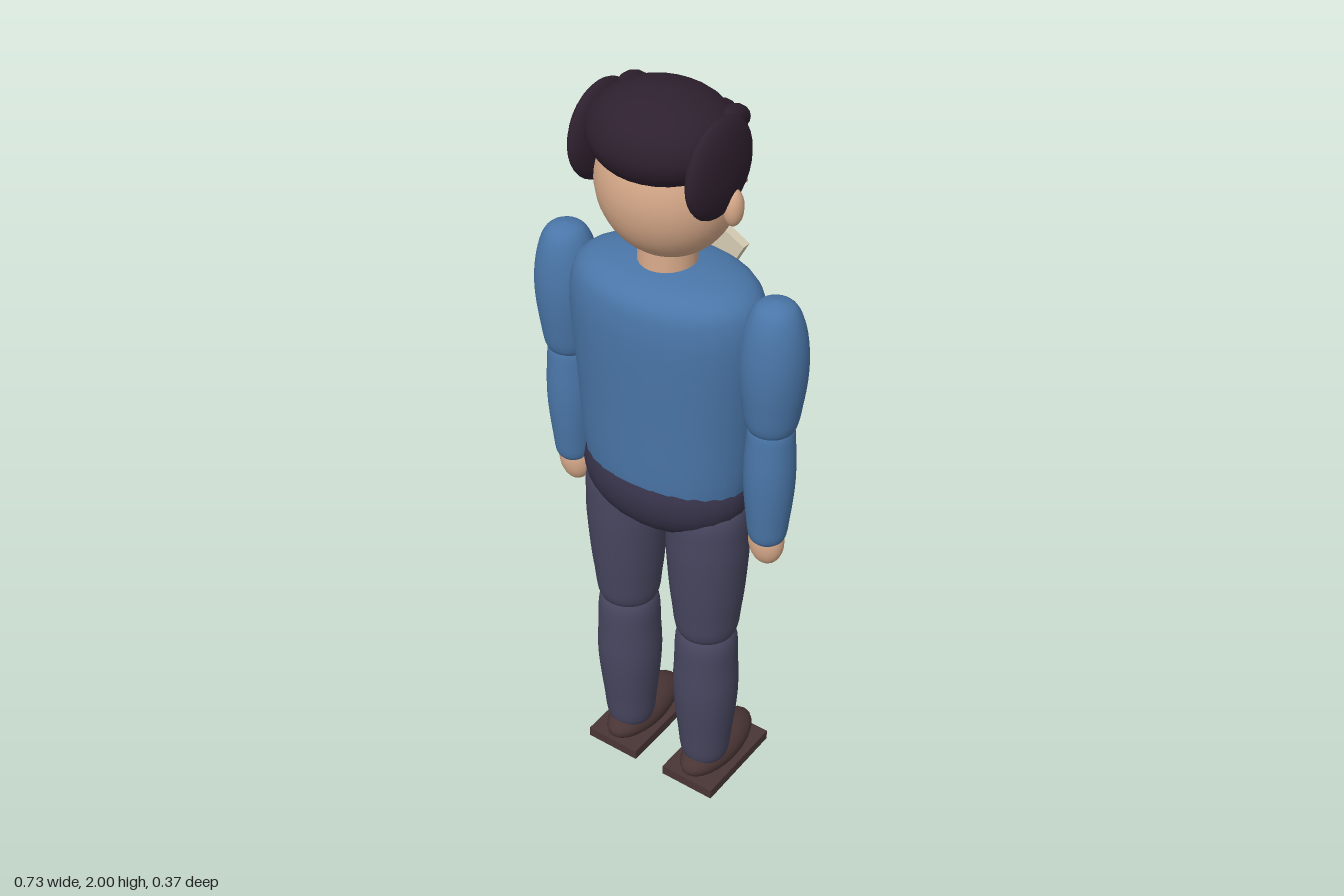
import * as THREE from 'three';

const mat = (name, color) => {
  const m = new THREE.MeshStandardMaterial({ color });
  m.name = name;
  return m;
};

export function createModel() {
  const shirt = mat('shirt blue', 0x4a76a8);
  const trousers = mat('trouser slate', 0x47465f);
  const seat = mat('dark waist', 0x37334a);
  const hair = mat('hair', 0x2e202e);
  const skin = mat('skin', 0xd8aa8a);
  const shoe = mat('shoe brown', 0x4a3535);
  const cream = mat('cream cloth', 0xd6ccb4);
  const tan = mat('tan', 0xa5805f);
  const black = mat('black', 0x1a1416);
  const white = mat('eye white', 0xece8e2);

  const figure = new THREE.Group();
  figure.name = 'standingFigure';

  const add = (name, geometry, material, [x, y, z]) => {
    const mesh = new THREE.Mesh(geometry, material);
    mesh.name = name;
    mesh.position.set(x, y, z);
    figure.add(mesh);
    return mesh;
  };
  const ball = (name, material, pos, radii, w = 24, h = 16) =>
    add(name, new THREE.SphereGeometry(1, w, h).scale(...radii), material, pos);
  const box = (name, material, pos, size) => add(name, new THREE.BoxGeometry(...size), material, pos);
  // Smooth turned shape from [radius, height] points, listed bottom to top
  const turned = (name, material, pos, points, depth = 1) => {
    const curve = new THREE.SplineCurve(points.map(([r, y]) => new THREE.Vector2(r, y)));
    const profile = curve.getPoints(points.length * 4).map(p => p.setX(Math.max(p.x, 0)));
    return add(name, new THREE.LatheGeometry(profile, 28).scale(1, 1, depth), material, pos);
  };
  // Ellipsoid stretched between two points
  const strand = (name, material, from, to, r) => {
    const a = new THREE.Vector3(...from), b = new THREE.Vector3(...to);
    const mid = a.clone().add(b).multiplyScalar(0.5);
    const mesh = ball(name, material, mid.toArray(), [r, a.distanceTo(b) / 2, r], 14, 12);
    mesh.quaternion.setFromUnitVectors(new THREE.Vector3(0, 1, 0), b.sub(a).normalize());
    return mesh;
  };

  // Torso, waist and neck
  turned('torso', shirt, [0, 0, 0.01], [[0, 1.0], [0.19, 1.0], [0.22, 1.02], [0.235, 1.2], [0.25, 1.4],
    [0.245, 1.49], [0.222, 1.535], [0.17, 1.56], [0.08, 1.573], [0, 1.575]], 0.665);
  ball('waist', seat, [0, 0.98, 0.012], [0.224, 0.14, 0.154]);
  add('neck', new THREE.CylinderGeometry(0.066, 0.07, 0.12, 24), skin, [0, 1.59, 0.01]);

  // Limbs
  for (const s of [-1, 1]) {
    const side = s > 0 ? 'left' : 'right';
    turned(side + 'UpperArm', shirt, [s * 0.287, 0, 0.01], [[0, 1.565], [0.045, 1.55], [0.07, 1.49],
      [0.079, 1.4], [0.07, 1.3], [0.052, 1.225], [0, 1.215]].reverse());
    turned(side + 'Forearm', shirt, [s * 0.287, 0, 0.01], [[0, 0.9], [0.04, 0.905], [0.052, 0.97],
      [0.061, 1.08], [0.058, 1.18], [0.048, 1.24], [0, 1.26]]);
    ball(side + 'Hand', skin, [s * 0.284, 0.893, 0.008], [0.046, 0.068, 0.036]);
    strand(side + 'Thumb', skin, [s * 0.245, 0.94, 0.0], [s * 0.236, 0.875, -0.012], 0.014);

    turned(side + 'Thigh', trousers, [s * 0.121, 0, 0.013], [[0, 0.525], [0.07, 0.53], [0.088, 0.62],
      [0.099, 0.74], [0.103, 0.85], [0.09, 0.95], [0, 1.0]]);
    turned(side + 'Shin', trousers, [s * 0.121, 0, 0.013], [[0, 0.08], [0.056, 0.09], [0.072, 0.19],
      [0.084, 0.32], [0.082, 0.42], [0.071, 0.53], [0, 0.55]]);

    // Shoes
    ball(side + 'Shoe', shoe, [s * 0.121, 0.073, -0.042], [0.066, 0.052, 0.141]);
    box(side + 'Sole', shoe, [s * 0.122, 0.035, -0.037], [0.155, 0.028, 0.27]);
    box(side + 'Tread', shoe, [s * 0.122, 0.011, -0.03], [0.11, 0.022, 0.21]);

    // Chest pocket and collar wing
    box(side + 'Pocket', shirt, [s * 0.147, 1.365, -0.141], [0.122, 0.105, 0.026]);
    const wing = box(side + 'Collar', cream, [s * 0.066, 1.548, -0.12], [0.07, 0.11, 0.024]);
    wing.rotation.z = -s * 0.5;
  }

  // Shirt front and buttons
  box('placket', cream, [0, 1.345, -0.148], [0.155, 0.325, 0.016]);
  for (const y of [1.4, 1.27, 1.14]) ball('button', tan, [0, y, -0.162], [0.01, 0.01, 0.008], 12, 8);

  // Head
  const c = [0, 1.77, 0.012], r = [0.167, 0.175, 0.146];
  ball('head', skin, c, r, 32, 24);
  ball('chin', skin, [0, 1.657, -0.066], [0.06, 0.042, 0.05]);
  strand('nose', skin, [0, 1.795, -0.138], [0, 1.738, -0.148], 0.02);
  ball('noseTip', skin, [0, 1.763, -0.15], [0.018, 0.02, 0.024], 16, 12);

  // Thin face details laid on the curve of the head
  const onFace = (name, material, x, y, w, h, lift, tilt = 0) => {
    const k = 1 - (x / r[0]) ** 2 - ((y - c[1]) / r[1]) ** 2;
    const z = c[2] - r[2] * Math.sqrt(k);
    const mesh = ball(name, material, [x, y, z - lift], [w, h, 0.0045], 16, 10);
    mesh.rotation.order = 'YXZ';
    mesh.rotation.set(0, -Math.atan2(x / r[0] ** 2, (c[2] - z) / r[2] ** 2), tilt);
  };
  for (const s of [-1, 1]) {
    onFace('eyeWhite', white, s * 0.06, 1.797, 0.027, 0.014, 0.002);
    onFace('pupil', black, s * 0.06, 1.798, 0.014, 0.014, 0.005);
    onFace('glint', white, s * 0.056, 1.803, 0.004, 0.004, 0.009);
    onFace('eyelid', black, s * 0.062, 1.812, 0.031, 0.007, 0.004, -s * 0.1);
    onFace('eyebrow', black, s * 0.064, 1.838, 0.033, 0.006, 0.003, -s * 0.15);
    ball('cheek', tan, [s * 0.11, 1.752, -0.106], [0.02, 0.008, 0.009], 14, 10);
    ball('ear', skin, [s * 0.173, 1.757, 0.013], [0.023, 0.045, 0.025], 16, 12);
  }
  onFace('mouth', black, 0, 1.706, 0.03, 0.006, 0.004);

  // Hair: crown, side locks and swept fringe
  ball('hairCrown', hair, [0, 1.892, 0.03], [0.172, 0.108, 0.153], 28, 20);
  for (const s of [-1, 1]) ball('sideLock', hair, [s * 0.152, 1.855, 0.039], [0.033, 0.114, 0.117]);
  for (let i = 0; i < 8; i++) {
    const x = -0.168 + i * 0.038;
    const reach = 0.147 - 0.0009 * (i - 3) ** 2;
    strand('fringe', hair, [x, 1.888, -reach], [x + 0.042, 1.95, 0.0], 0.029);
  }

  return figure;
}
